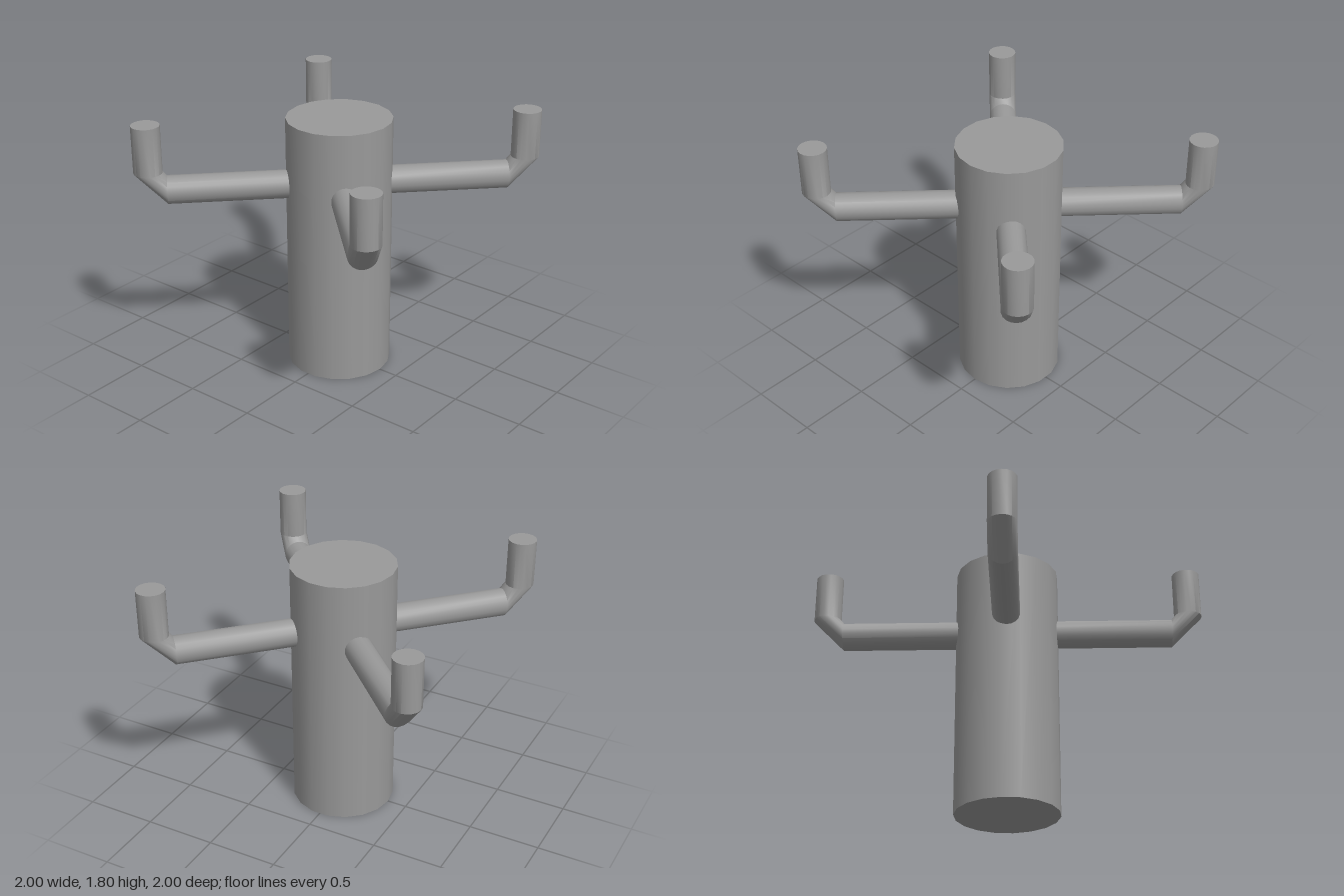
import * as THREE from 'three';
import { toCreasedNormals } from 'three/addons/utils/BufferGeometryUtils.js';

const SIDES = 18;
const R = 0.097;

// Bent round arm running out along +x, then turning up into a post
function armGeometry() {
  // [distance out, height, ring stands upright?]
  const rings = [[0.2, 1.344, true], [1.155, 1.344, true], [1.277, 1.472, false], [1.277, 1.805, false]];
  const pos = [], index = [];
  for (const [d, y, upright] of rings) {
    for (let j = 0; j < SIDES; j++) {
      const a = (j / SIDES) * Math.PI * 2;
      const up = R * Math.cos(a), side = R * Math.sin(a);
      pos.push(upright ? d : d - up, upright ? y + up : y, side);
    }
  }
  for (let i = 0; i < rings.length - 1; i++) {
    for (let j = 0; j < SIDES; j++) {
      const k = (j + 1) % SIDES;
      const a = i * SIDES + j, b = i * SIDES + k;
      index.push(a, b, a + SIDES, b, b + SIDES, a + SIDES);
    }
  }
  // flat caps at both ends
  const last = (rings.length - 1) * SIDES;
  for (let j = 1; j < SIDES - 1; j++) {
    index.push(last, last + j, last + j + 1);
    index.push(0, j + 1, j);
  }
  const geo = new THREE.BufferGeometry();
  geo.setAttribute('position', new THREE.Float32BufferAttribute(pos, 3));
  geo.setIndex(index);
  return toCreasedNormals(geo, 0.6);
}

export function createModel() {
  const group = new THREE.Group();
  const material = new THREE.MeshStandardMaterial({ color: 0x999999 });

  // central column
  const column = new THREE.Mesh(new THREE.CylinderGeometry(0.36, 0.36, 1.805, SIDES), material);
  column.name = 'column';
  column.position.y = 1.805 / 2;
  column.rotation.y = Math.PI / 2;
  group.add(column);

  // four arms on the diagonals
  const geo = armGeometry();
  ['backRightArm', 'backLeftArm', 'frontLeftArm', 'frontRightArm'].forEach((name, k) => {
    const arm = new THREE.Mesh(geo, material);
    arm.name = name;
    arm.rotation.y = (3 * Math.PI) / 4 - (k * Math.PI) / 2;
    group.add(arm);
  });
  return group;
}
